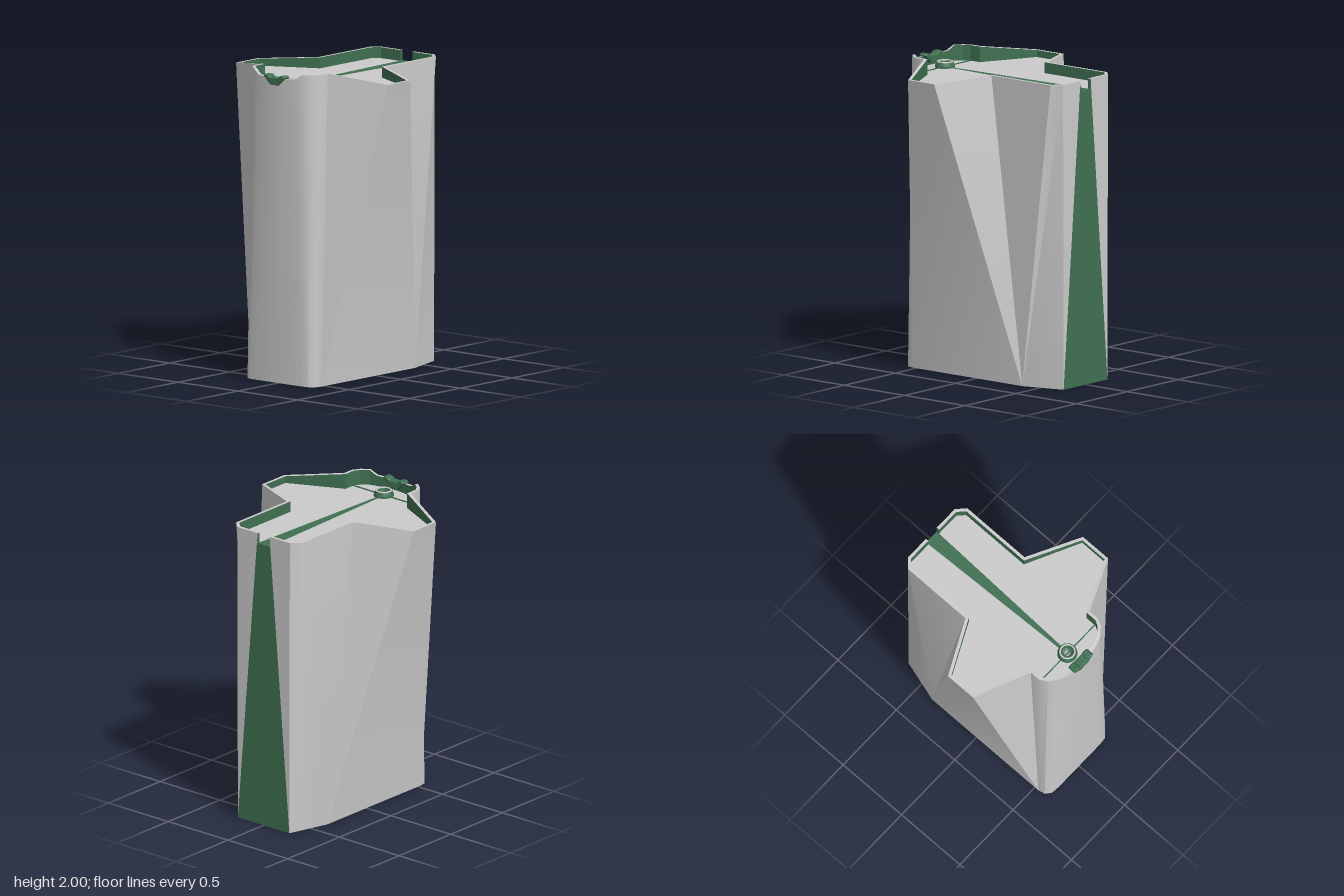
import * as THREE from 'three';
import { toCreasedNormals } from 'three/addons/utils/BufferGeometryUtils.js';

const material = (color) => new THREE.MeshStandardMaterial({ color, side: THREE.DoubleSide });
const grey = material(0xcccccc);
const green = material(0x407052);
const LID_Y = 1.9, WALL = 0.02;

// Half outline, back to front: top x, y, z then the matching bottom x, z
const HALF = [
  [0.05, 1.97, -0.655, 0.215, -0.655],
  [0.22, 1.97, -0.655, 0.215, -0.655],
  [0.278, 1.97, -0.6, 0.295, -0.38],
  [0.278, 1.97, -0.11, 0.295, -0.38],
  [0.635, 1.945, 0.065, 0.295, -0.38],
  [0.635, 1.945, 0.28, 0.295, 0.53],
  [0.278, 2.0, 0.45, 0.295, 0.53],
  [0.278, 2.0, 0.52, 0.295, 0.53],
  [0.25, 2.0, 0.57, 0.285, 0.575],
  [0.2, 2.0, 0.61, 0.25, 0.605],
  [0.15, 1.97, 0.625, 0.19, 0.61],
  [0.08, 1.965, 0.64, 0.1, 0.61],
  [0, 1.93, 0.648, 0, 0.61],
];

const V = (x, y, z) => new THREE.Vector3(x, y, z);
const mirrored = (half) => [
  ...half,
  ...half.slice(0, -1).reverse().map((p) => V(-p.x, p.y, p.z)),
];

// Moves an open outline inwards in plan by a constant wall thickness
function inset(ring, d) {
  const normals = ring.slice(1).map((p, i) => {
    const q = ring[i];
    return new THREE.Vector2(-(p.z - q.z), p.x - q.x).normalize();
  });
  return ring.map((p, i) => {
    const a = normals[Math.max(i - 1, 0)];
    const b = normals[Math.min(i, normals.length - 1)];
    const m = a.clone().add(b);
    m.multiplyScalar((2 * d) / m.lengthSq());
    return V(p.x + m.x, p.y, p.z + m.y);
  });
}

// Surface between two point rows, leaving out collapsed triangles
function strip(lower, upper, crease = 0.6) {
  const pos = [];
  const tri = (a, b, c) => {
    const area = b.clone().sub(a).cross(c.clone().sub(a)).length();
    if (area > 1e-7) for (const p of [a, b, c]) pos.push(p.x, p.y, p.z);
  };
  for (let i = 0; i < lower.length - 1; i++) {
    tri(lower[i], upper[i], lower[i + 1]);
    tri(lower[i + 1], upper[i], upper[i + 1]);
  }
  const g = new THREE.BufferGeometry();
  g.setAttribute('position', new THREE.Float32BufferAttribute(pos, 3));
  g.computeVertexNormals();
  return toCreasedNormals(g, crease);
}

export function createModel() {
  const group = new THREE.Group();
  const add = (name, geometry, mat, x = 0, y = 0, z = 0) => {
    const mesh = new THREE.Mesh(geometry, mat);
    mesh.name = name;
    mesh.position.set(x, y, z);
    group.add(mesh);
    return mesh;
  };

  // Tapered shell, cross shaped above and nearly rectangular below
  const top = mirrored(HALF.map((p) => V(p[0], p[1], p[2])));
  const bottom = mirrored(HALF.map((p) => V(p[3], 0, p[4])));
  const inner = inset(top, WALL);
  const lidRing = inner.map((p) => V(p.x, LID_Y, p.z));
  add('shell', strip(bottom, top), grey);
  add('rim', strip(top, inner), grey);
  add('rimInnerWall', strip(inner, lidRing, 0.3), green);

  // Rim ends on both sides of the rear notch
  for (const i of [0, top.length - 1]) {
    const low = V(top[i].x, LID_Y, top[i].z);
    add('rimEnd', strip([top[i], low], [inner[i], lidRing[i]]), green);
  }

  // Recessed lid with a drain hole
  const lidShape = new THREE.Shape(lidRing.map((p) => new THREE.Vector2(p.x, -p.z)));
  const hole = new THREE.Path();
  hole.absarc(0, -0.51, 0.03, 0, Math.PI * 2, true);
  lidShape.holes.push(hole);
  add('lid', new THREE.ShapeGeometry(lidShape, 16).rotateX(-Math.PI / 2), grey, 0, LID_Y);

  // Tapering band along the lid, and the rear wedge panel
  const y = LID_Y + 0.003;
  add('lidBand', strip(
    [V(0.05, y, -0.655), V(0.01, y, 0.46)],
    [V(-0.05, y, -0.655), V(-0.01, y, 0.46)],
  ), green);
  add('rearPanel', strip(
    [V(-0.215, 0, -0.655), V(0.215, 0, -0.655)],
    [V(-0.056, y, -0.655), V(0.056, y, -0.655)],
  ), green);
  add('lidSeam', new THREE.BoxGeometry(0.53, 0.006, 0.007), green, 0, LID_Y + 0.003, 0.51);

  // Drain collar and the pipe running down inside
  const collar = [[0.064, 0], [0.064, 0.012], [0.052, 0.035], [0.042, 0.035], [0.034, 0.012], [0.02, 0.005]];
  add('drainCollar', toCreasedNormals(
    new THREE.LatheGeometry(collar.map(([r, h]) => new THREE.Vector2(r, h)), 24), 0.5,
  ), green, 0, LID_Y, 0.51);
  add('drainRing', new THREE.TorusGeometry(0.047, 0.006, 8, 24).rotateX(Math.PI / 2), grey, 0, LID_Y + 0.035, 0.51);
  add('drainPipe', new THREE.CylinderGeometry(0.02, 0.02, LID_Y - 0.01, 16, 1, true), grey, 0, LID_Y / 2 + 0.005, 0.51);

  // Pouring lip over the front rim
  const half = [[0.035, 1.92], [0.05, 1.935], [0.088, 1.972], [0.075, 1.985], [0.045, 1.982], [0.03, 1.968]];
  const outline = [...half, ...half.map(([x, h]) => [-x, h]).reverse()];
  const lipShape = new THREE.Shape(outline.map(([x, h]) => new THREE.Vector2(x, h)));
  add('frontLip', new THREE.ExtrudeGeometry(lipShape, {
    depth: 0.045, bevelEnabled: true, bevelThickness: 0.006, bevelSize: 0.004, bevelOffset: -0.004, bevelSegments: 1,
  }), green, 0, 0, 0.602);
  add('lipTongue', new THREE.BoxGeometry(0.06, 0.03, 0.06), green, 0, 1.94, 0.623);

  return group;
}
